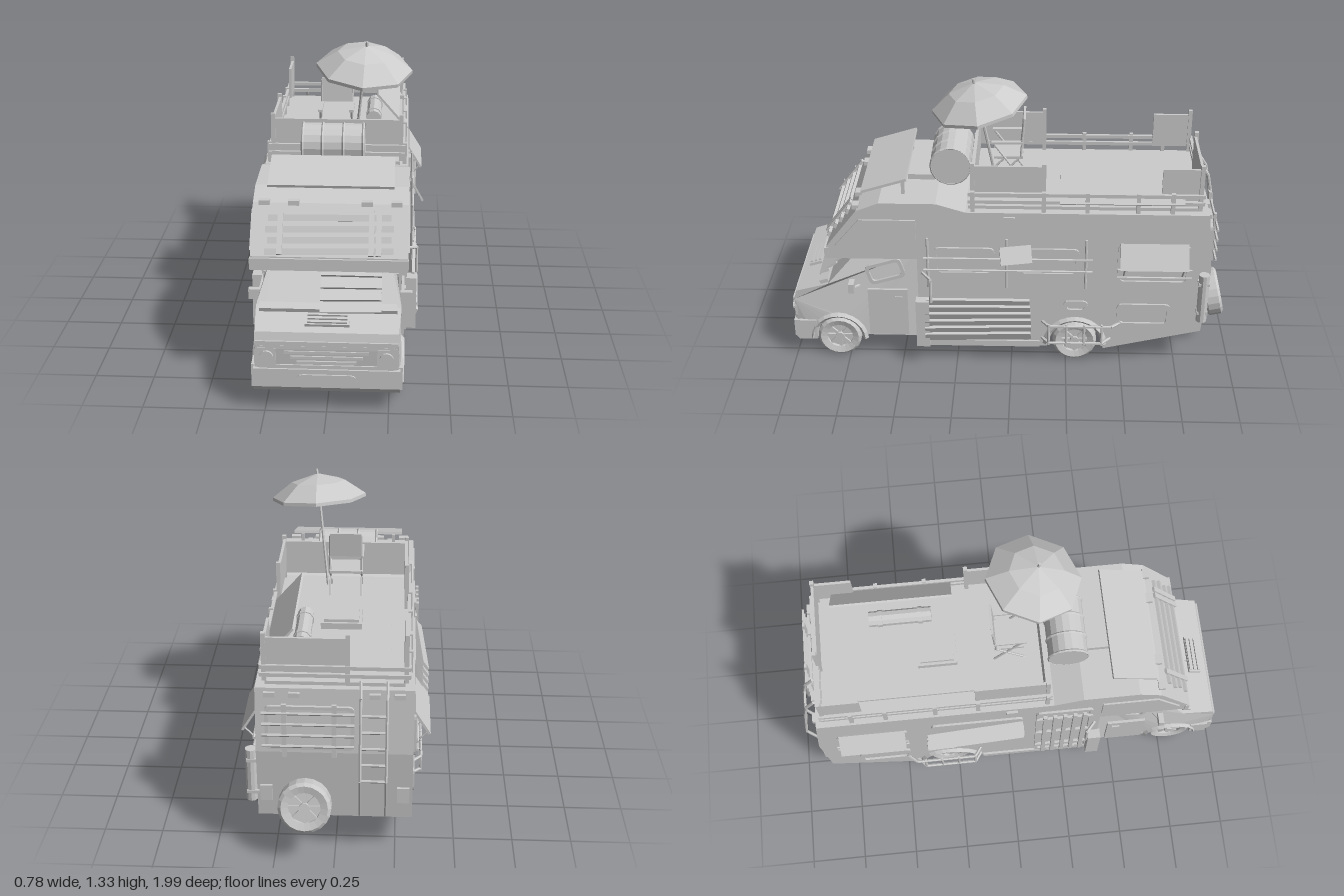
import * as THREE from 'three';

const mat = new THREE.MeshStandardMaterial({ color: 0xcccccc, flatShading: true });
const sheet = new THREE.MeshStandardMaterial({ color: 0xcccccc, flatShading: true, side: THREE.DoubleSide });
const V = (x, y, z) => new THREE.Vector3(x, y, z);
const wob = (i) => Math.sin(i * 12.9 + 1.3); // repeatable unevenness

export function createModel() {
  const root = new THREE.Group();
  root.name = 'armouredCamper';

  const add = (name, geo, x = 0, y = 0, z = 0, rx = 0, ry = 0, rz = 0, parent = root, m = mat) => {
    const mesh = new THREE.Mesh(geo, m);
    mesh.name = name;
    mesh.position.set(x, y, z);
    mesh.rotation.set(rx, ry, rz);
    parent.add(mesh);
    return mesh;
  };
  const box = (name, w, h, d, x, y, z, rx = 0, ry = 0, rz = 0) =>
    add(name, new THREE.BoxGeometry(w, h, d), x, y, z, rx, ry, rz);
  const bar = (name, a, b, r = 0.006, sides = 6) => {
    const mesh = add(name, new THREE.CylinderGeometry(r, r, a.distanceTo(b), sides));
    mesh.position.copy(a).lerp(b, 0.5);
    mesh.quaternion.setFromUnitVectors(V(0, 1, 0), b.clone().sub(a).normalize());
    return mesh;
  };
  const pipe = (name, pts, r = 0.007) => {
    for (let i = 1; i < pts.length; i++) bar(name, pts[i - 1], pts[i], r);
  };
  // side outline of [z, y] points, extruded across x
  const across = (pts, w) => {
    const geo = new THREE.ExtrudeGeometry(new THREE.Shape(pts.map((p) => new THREE.Vector2(...p))),
      { depth: w, bevelEnabled: false });
    return geo.translate(0, 0, -w / 2).rotateY(-Math.PI / 2);
  };
  const arch = (zc, r) => Array.from({ length: 11 }, (_, i) => {
    const a = Math.PI * (1 - i / 10);
    return [zc + r * Math.cos(a), 0.1 + r * Math.sin(a)];
  });
  const roundRect = (T, w, h, r) => {
    const s = new T(), x = w / 2, y = h / 2;
    s.moveTo(-x + r, -y); s.lineTo(x - r, -y); s.quadraticCurveTo(x, -y, x, -y + r);
    s.lineTo(x, y - r); s.quadraticCurveTo(x, y, x - r, y); s.lineTo(-x + r, y);
    s.quadraticCurveTo(-x, y, -x, y - r); s.lineTo(-x, -y + r); s.quadraticCurveTo(-x, -y, -x + r, -y);
    return s;
  };
  // rounded frame lying on a wall; ry turns it to face that wall's direction
  const frame = (name, w, h, x, y, z, ry, rx = 0) => {
    const s = roundRect(THREE.Shape, w, h, 0.025);
    s.holes.push(roundRect(THREE.Path, w - 0.03, h - 0.03, 0.018));
    return add(name, new THREE.ExtrudeGeometry(s, { depth: 0.012, bevelEnabled: false, curveSegments: 3 }), x, y, z, rx, ry);
  };
  const wheel = (name, r, w) => {
    const g = new THREE.Group(), h = w / 2;
    g.name = name;
    const prof = [[0.6 * r, -h * 0.8], [0.88 * r, -h], [r, -h * 0.7], [r, h * 0.7], [0.88 * r, h], [0.6 * r, h * 0.8], [0.6 * r, -h * 0.8]];
    add('tyre', new THREE.LatheGeometry(prof.map((p) => new THREE.Vector2(...p)), 20), 0, 0, 0, 0, 0, Math.PI / 2, g);
    add('rim', new THREE.CylinderGeometry(0.62 * r, 0.62 * r, w * 0.45, 20), 0, 0, 0, 0, 0, Math.PI / 2, g);
    add('hub', new THREE.CylinderGeometry(0.2 * r, 0.2 * r, w * 0.9, 10), 0, 0, 0, 0, 0, Math.PI / 2, g);
    for (let i = 0; i < 8; i++) {
      const a = i * Math.PI / 4;
      add('spoke', new THREE.BoxGeometry(w * 0.7, 0.4 * r, 0.14 * r), 0, 0.4 * r * Math.cos(a), 0.4 * r * Math.sin(a), a, 0, 0, g);
    }
    root.add(g);
    return g;
  };

  // living body with the overcab
  add('body', across([[0.42, 0.085], [0.42, 0.54], [0.82, 0.54], [0.82, 0.6], [0.68, 0.78], [0.58, 0.82], [0.33, 0.82],
    [0.2, 0.78], [-0.86, 0.78], [-0.885, 0.5], [-0.86, 0.18], [-0.42, 0.075], ...arch(-0.29, 0.125), [-0.165, 0.085]], 0.636));
  box('overcabLip', 0.644, 0.05, 0.02, 0, 0.57, 0.82);
  box('chassis', 0.4, 0.13, 1.6, 0, 0.155, 0.1);

  // cab, narrowing towards the roof and the nose
  const cab = across([[0.42, 0.12], [0.42, 0.54], [0.69, 0.54], [0.83, 0.39], [0.98, 0.345], [0.992, 0.3], [0.98, 0.13],
    [0.915, 0.12], ...arch(0.795, 0.118).reverse(), [0.675, 0.12]], 0.6);
  const p = cab.attributes.position;
  for (let i = 0; i < p.count; i++) {
    const y = p.getY(i), z = p.getZ(i);
    p.setX(i, p.getX(i) * (y > 0.38 ? 1 - (y - 0.38) * 1.1 : 1) * (z > 0.95 ? 0.96 : 1));
  }
  add('cab', cab);
  add('bumper', across([[0.9, 0.09], [0.98, 0.085], [1, 0.11], [1, 0.19], [0.9, 0.19]], 0.59));
  frame('plateRecess', 0.24, 0.035, 0, 0.152, 0.995, 0);
  frame('grilleFrame', 0.58, 0.1, 0, 0.24, 0.98, 0);
  for (let i = 0; i < 3; i++) box('grilleBar', 0.34 - i * 0.05, 0.012, 0.02, 0, 0.262 - i * 0.022, 0.985);
  box('hoodLip', 0.57, 0.018, 0.03, 0, 0.302, 0.982);
  box('hoodVent', 0.18, 0.012, 0.06, 0, 0.37, 0.92, 0.29);
  for (let i = 0; i < 3; i++) box('ventSlat', 0.16, 0.012, 0.01, 0, 0.384 - i * 0.006, 0.9 + i * 0.02, 0.29);

  // windscreen armour: flat plate on one half, overlapping slats on the other
  box('windscreenPlate', 0.22, 0.185, 0.012, -0.14, 0.465, 0.766, -Math.PI / 4);
  for (let i = 0; i < 4; i++)
    box('windscreenSlat', 0.25, 0.05, 0.01, 0.09, 0.40 + i * 0.037, 0.86 - i * 0.037, -1.1 + 0.1 * wob(i), 0, 0.04 * wob(i + 3));
  box('scuttle', 0.56, 0.02, 0.04, 0, 0.392, 0.85, 0.3);

  // overcab front slats with straps and marker lamps
  for (let i = 0; i < 4; i++) {
    const y = 0.625 + i * 0.037;
    box('overcabSlat', 0.52 - 0.02 * (i % 2), 0.026, 0.014, 0, y, 0.82 - (y - 0.6) * 0.778 + 0.015, -0.4, 0, 0.02 * wob(i));
  }
  for (const x of [-0.2, 0.17, 0.2]) box('slatStrap', 0.022, 0.19, 0.012, x, 0.69, 0.774, -0.66);
  for (const x of [-0.27, -0.15, 0.15, 0.27]) box('roofLamp', 0.045, 0.02, 0.03, x, 0.785, 0.685);

  for (const s of [1, -1]) {
    const ry = s * Math.PI / 2, X = s * 0.316;
    // lamps, mirrors, cab doors
    box('headlampHousing', 0.075, 0.075, 0.025, s * 0.24, 0.242, 0.982);
    add('headlamp', new THREE.CylinderGeometry(0.028, 0.028, 0.03, 14), s * 0.24, 0.242, 0.99, Math.PI / 2);
    box('mirror', 0.05, 0.045, 0.025, s * 0.315, 0.39, 0.72);
    bar('mirrorArm', V(s * 0.27, 0.37, 0.69), V(s * 0.315, 0.38, 0.72));
    const win = frame('cabWindow', 0.17, 0.1, s * 0.272, 0.45, 0.57, ry);
    win.rotation.set(0, ry, s * 0.3);
    box('cabDoor', 0.012, 0.24, 0.18, s * 0.302, 0.25, 0.56);
    box('doorHandle', 0.015, 0.012, 0.035, s * 0.308, 0.33, 0.51);
    // wheels and flares
    wheel('frontWheel', 0.1, 0.08).position.set(s * 0.255, 0.1, 0.795);
    wheel('rearWheel', 0.1, 0.08).position.set(s * 0.262, 0.1, -0.29);
    add('frontFlare', new THREE.TorusGeometry(0.122, 0.014, 4, 12, Math.PI), s * 0.297, 0.1, 0.795, 0, Math.PI / 2);
    add('rearFlare', new THREE.TorusGeometry(0.132, 0.014, 4, 12, Math.PI), s * 0.318, 0.1, -0.29, 0, Math.PI / 2);
    box('bumperEnd', 0.03, 0.1, 0.08, s * 0.29, 0.145, 0.935);
    // tube guard at the rear wheel
    pipe('wheelGuard', [V(X, 0.22, -0.14), V(s * 0.36, 0.22, -0.17), V(s * 0.36, 0.22, -0.45), V(X, 0.22, -0.5)]);
    pipe('wheelGuard', [V(X, 0.13, -0.14), V(s * 0.36, 0.13, -0.17), V(s * 0.36, 0.13, -0.41), V(X, 0.13, -0.45)]);
    for (const z of [-0.17, -0.25, -0.33, -0.41]) bar('guardPost', V(s * 0.36, 0.12, z), V(s * 0.36, 0.23, z));
    // corner step box and grab tube
    box('cornerBox', 0.045, 0.24, 0.06, s * 0.338, 0.22, 0.4);
    pipe('grabTube', [V(X, 0.47, 0.4), V(s * 0.36, 0.46, 0.36), V(s * 0.36, 0.34, 0.36)]);
    // overcab side panel
    const panel = add('overcabSidePanel', across([[0.78, 0.61], [0.67, 0.74], [0.42, 0.74], [0.42, 0.61]], 0.012), s * 0.32);
    panel.scale.set(1, 1, 1);
    // rear awning window with its propped shutter
    frame('awningWindow', 0.32, 0.2, X, 0.53, -0.63, ry);
    box('awningShutter', 0.01, 0.12, 0.3, s * 0.352, 0.585, -0.63, 0, 0, s * 0.55);
    for (const y of [0.47, 0.51]) bar('awningBar', V(s * 0.335, y, -0.8), V(s * 0.335, y, -0.47));
    for (const z of [-0.76, -0.5]) bar('shutterProp', V(X, 0.47, z), V(s * 0.38, 0.54, z), 0.004);
    // lower hatches and marker lamp
    frame('lowerHatch', 0.24, 0.115, X, 0.265, -0.595, ry);
    frame('smallHatch', 0.11, 0.06, X, 0.305, -0.29, ry);
    box('sideMarker', 0.02, 0.025, 0.05, s * 0.32, 0.75, 0.01);
    box('sill', 0.02, 0.03, 0.52, s * 0.318, 0.1, 0.13);
    // roof deck rails, posts and side boards
    for (const y of [0.825, 0.86]) box('deckRail', 0.014, 0.016, 1.02, s * 0.295, y, -0.32);
    for (const z of [0.17, -0.14, -0.33, -0.55, -0.7]) box('railPost', 0.018, 0.11, 0.018, s * 0.3, 0.82, z);
    box('frontSideBoard', 0.012, 0.15, 0.3, s * 0.28, 0.915, 0.015);
    box('rearSideBoard', 0.012, 0.15, 0.16, s * 0.28, 0.91, -0.73);
    for (const z of [0.17, -0.14, -0.82]) box('boardPost', 0.018, 0.21, 0.018, s * 0.283, 0.9, z);
  }

  // left wall: two barred windows above scrap planks
  for (const z of [0.21, -0.165]) frame('sideWindow', 0.27, 0.14, 0.316, 0.535, z, Math.PI / 2);
  for (const y of [0.5, 0.56]) bar('windowBar', V(0.342, y, 0.39), V(0.342, y, -0.36));
  for (const z of [0.37, 0.02, -0.33]) bar('windowBarPost', V(0.338, 0.41, z), V(0.338, 0.66, z));
  for (let i = 0; i < 6; i++)
    box('leftPlank', 0.014, 0.042, 0.46 + 0.02 * wob(i), 0.345 + 0.012 * wob(i + 2), 0.16 + i * 0.034, 0.15, 0.03 * wob(i), 0, -0.35);
  box('openFlap', 0.01, 0.08, 0.14, 0.355, 0.59, -0.02, 0, 0.2, 0.5);
  // right wall: barred door and planked window
  frame('sideDoor', 0.26, 0.58, -0.316, 0.41, 0.25, -Math.PI / 2);
  for (let i = 0; i < 5; i++) box('doorBar', 0.014, 0.54, 0.018, -0.338, 0.41, 0.16 + i * 0.045);
  for (const y of [0.22, 0.42, 0.62]) box('doorBrace', 0.012, 0.02, 0.26, -0.33, y, 0.25);
  frame('plankedWindow', 0.42, 0.2, -0.316, 0.56, -0.15, -Math.PI / 2);
  for (let i = 0; i < 5; i++)
    box('rightPlank', 0.012, 0.046, 0.42 + 0.03 * wob(i), -0.355, 0.49 + i * 0.034, -0.16, 0.06 * wob(i), 0.06, -0.6);

  // rear wall: barred window, ladder, gas tube, spare wheel, rear underside panel
  frame('rearWindow', 0.36, 0.2, 0.1, 0.61, -0.872, Math.PI);
  for (let i = 0; i < 4; i++) bar('rearWindowBar', V(-0.08, 0.54 + i * 0.05, -0.905), V(0.29, 0.54 + i * 0.05, -0.905));
  for (const x of [0, 0.2]) box('rearStrap', 0.02, 0.24, 0.012, x, 0.61, -0.9);
  const ladder = [[0.82, -0.86], [0.76, -0.9], [0.66, -0.92], [0.41, -0.95], [0.2, -0.88]];
  for (const x of [-0.21, -0.105]) pipe('ladderRail', ladder.map(([y, z]) => V(x, y, z)));
  for (let i = 0; i < 5; i++) bar('ladderRung', V(-0.21, 0.41 + i * 0.07, -0.95 + i * 0.009), V(-0.105, 0.41 + i * 0.07, -0.95 + i * 0.009));
  add('gasTube', new THREE.CylinderGeometry(0.024, 0.024, 0.24, 10), 0.342, 0.375, -0.855);
  for (const y of [0.3, 0.45]) box('gasTubeClamp', 0.05, 0.014, 0.05, 0.335, y, -0.855);
  wheel('spareWheel', 0.11, 0.075).position.set(0.12, 0.27, -0.925);
  const spare = root.children[root.children.length - 1];
  spare.rotation.set(0.22, Math.PI / 2, 0, 'XYZ');
  box('spareMount', 0.08, 0.08, 0.06, 0.12, 0.27, -0.88);
  for (const x of [-0.28, 0.28]) box('tailLamp', 0.05, 0.07, 0.02, x, 0.3, -0.874);
  for (const x of [-0.26, -0.16, 0.16, 0.26]) box('rearMarker', 0.045, 0.02, 0.02, x, 0.755, -0.866);
  box('undersidePanel', 0.5, 0.012, 0.36, 0, 0.122, -0.64, 0.234);

  // roof deck boards and fittings
  box('deckMat', 0.56, 0.02, 1.02, 0, 0.785, -0.32);
  box('innerMat', 0.4, 0.014, 0.82, -0.02, 0.8, -0.32);
  for (const y of [0.825, 0.86]) for (const z of [0.18, -0.83]) box('deckEndRail', 0.6, 0.016, 0.014, 0, y, z);
  box('frontBoard', 0.55, 0.15, 0.012, 0, 0.905, 0.165);
  box('rearBoard', 0.33, 0.15, 0.012, 0.115, 0.91, -0.82);
  box('boardPost', 0.018, 0.21, 0.018, -0.05, 0.9, -0.825);
  box('skylight', 0.175, 0.04, 0.175, -0.005, 0.815, -0.3);
  box('skylightLid', 0.15, 0.015, 0.15, -0.005, 0.84, -0.3);
  box('frontHatch', 0.175, 0.03, 0.12, 0, 0.83, 0.41);
  box('solarPanel', 0.52, 0.012, 0.21, 0, 0.875, 0.56, 0.3);
  for (const x of [-0.22, 0.22]) box('solarLeg', 0.015, 0.08, 0.015, x, 0.85, 0.48);
  box('leaningSheet', 0.215, 0.01, 0.54, 0.24, 0.905, -0.48, 0, 0, -0.852);
  add('bedroll', new THREE.CylinderGeometry(0.035, 0.035, 0.28, 10), 0.15, 0.84, -0.45, Math.PI / 2);
  for (const z of [-0.54, -0.36]) add('bedrollStrap', new THREE.CylinderGeometry(0.039, 0.039, 0.02, 10), 0.15, 0.84, z, Math.PI / 2);
  add('barrel', new THREE.CylinderGeometry(0.088, 0.088, 0.27, 18), -0.01, 0.905, 0.276, 0, 0, Math.PI / 2);
  for (const x of [-0.14, -0.055, 0.035, 0.12])
    add('barrelHoop', new THREE.TorusGeometry(0.088, 0.006, 4, 18), x, 0.905, 0.276, 0, Math.PI / 2);

  // folding chair
  box('chairSeat', 0.14, 0.012, 0.13, -0.01, 0.92, 0.02);
  box('chairBack', 0.14, 0.11, 0.01, -0.01, 1.055, -0.047, -0.08);
  for (const x of [-0.08, 0.06]) {
    bar('chairLeg', V(x, 0.8, 0.09), V(x, 0.93, -0.04), 0.005);
    bar('chairLeg', V(x, 0.8, -0.05), V(x, 0.995, 0.09), 0.005);
    bar('chairUpright', V(x, 0.92, -0.035), V(x, 1.1, -0.05), 0.005);
    box('chairArm', 0.02, 0.01, 0.14, x, 0.995, 0.025);
  }

  // parasol, tilted along its pole
  const foot = V(0.075, 0.8, 0.07), tip = V(0.13, 1.33, 0.168);
  bar('parasolPole', foot, tip, 0.007);
  const canopy = add('parasolCanopy', new THREE.LatheGeometry(
    [[0.21, -0.115], [0.21, -0.1], [0.12, -0.035], [0, 0]].map((q) => new THREE.Vector2(...q)), 8),
  0.125, 1.312, 0.163, 0, 0, 0, root, sheet);
  canopy.quaternion.setFromUnitVectors(V(0, 1, 0), V(0.07, 1, 0.19).normalize());
  return root;
}
